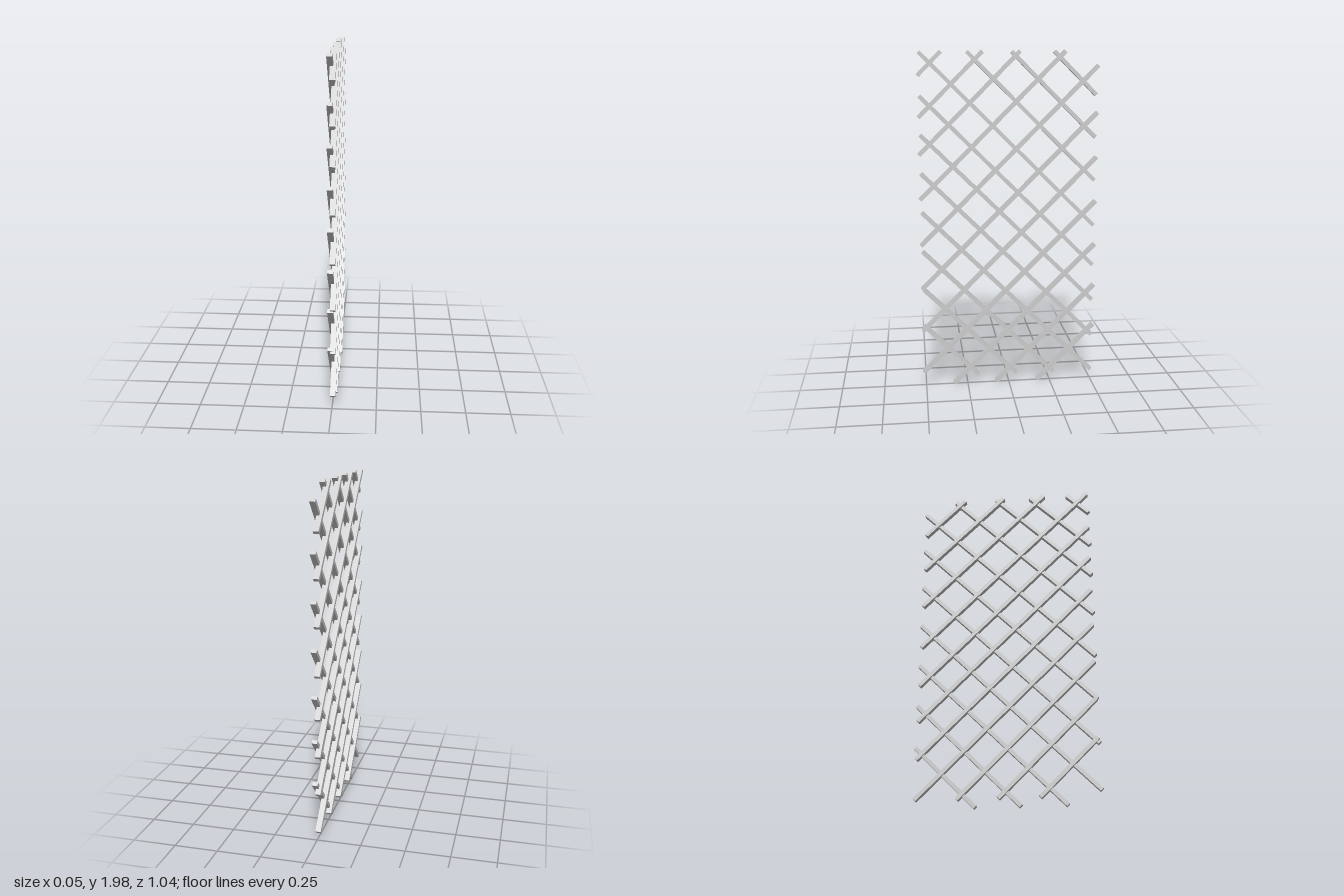
import * as THREE from 'three';

const WIDTH = 0.022, DEPTH = 0.0315;

// One row of parallel 45 degree slats, each trimmed to the panel outline.
// dir = 1: y = z + offset (rises toward the front); dir = -1: y = -z + offset.
function slatLayer(name, dir, x, offsets, zMax, yMin, yMax, material) {
  const layer = new THREE.Group();
  layer.name = name;
  for (const c of offsets) {
    const za = (yMin - c) * dir, zb = (yMax - c) * dir;
    const z0 = Math.max(-zMax, Math.min(za, zb));
    const z1 = Math.min(zMax, Math.max(za, zb));
    const z = (z0 + z1) / 2;
    const slat = new THREE.Mesh(
      new THREE.BoxGeometry(DEPTH, WIDTH, (z1 - z0) * Math.SQRT2), material);
    slat.name = 'slat';
    slat.position.set(x, dir * z + c, z);
    slat.rotation.x = -dir * Math.PI / 4;
    layer.add(slat);
  }
  return layer;
}

export function createModel() {
  const model = new THREE.Group();
  model.name = 'trellis';
  const wood = new THREE.MeshStandardMaterial({ color: 0xcccccc, flatShading: true });

  // Outer layer on the model's left, slightly sunk into the other layer
  model.add(slatLayer('leftSlats', -1, 0.0065,
    [2.368, 2.135, 1.923, 1.664, 1.393, 1.128, 0.869, 0.609, 0.349, 0.096, -0.153],
    0.513, 0.018, 1.987, wood));

  // Crossing layer on the model's right
  model.add(slatLayer('rightSlats', 1, -0.008,
    [2.247, 2.003, 1.749, 1.479, 1.235, 1.017, 0.795, 0.567, 0.334, 0.106, -0.122],
    0.505, 0.061, 1.985, wood));

  return model;
}
